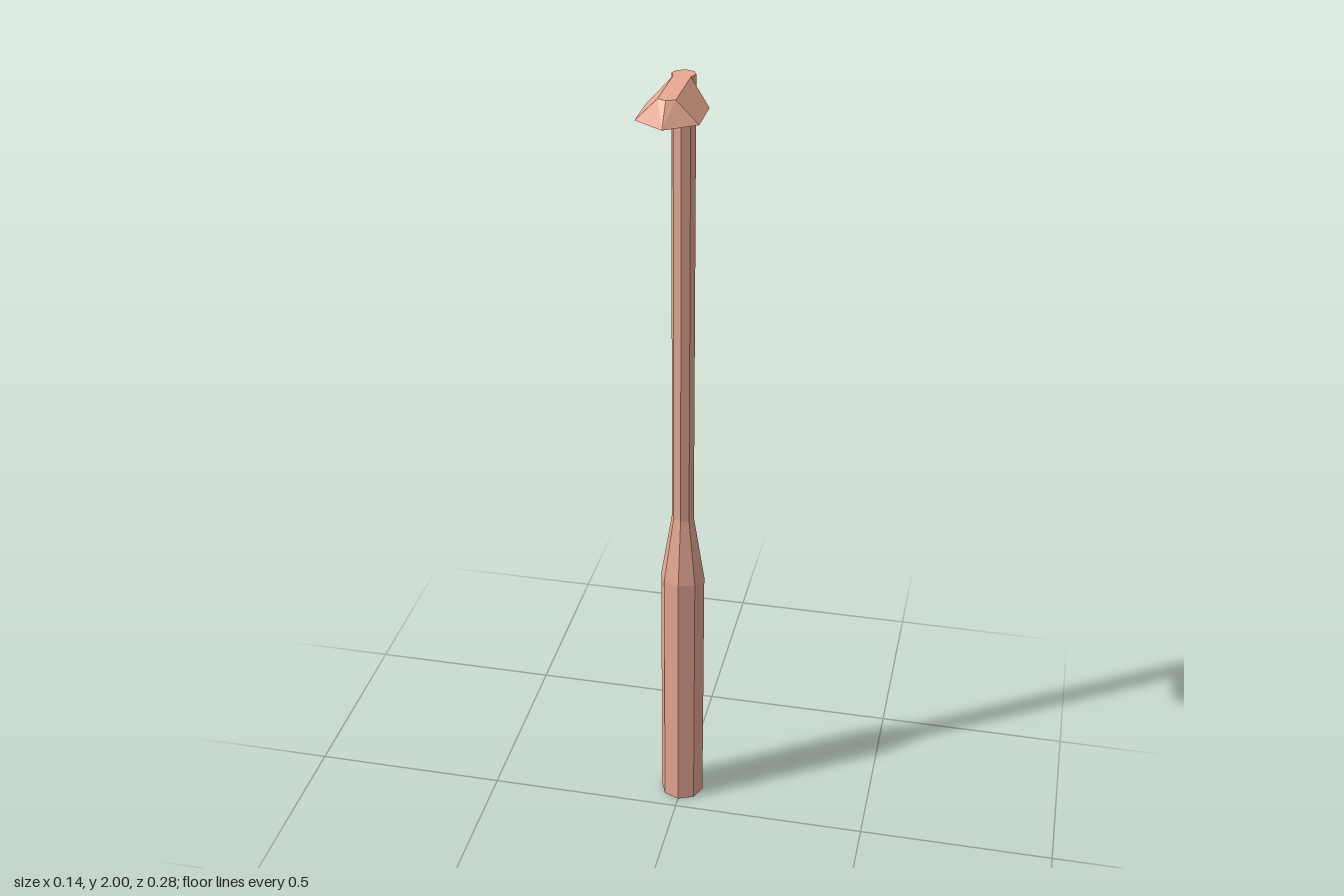
import * as THREE from 'three';
import { ConvexGeometry } from 'three/addons/geometries/ConvexGeometry.js';

export function createModel() {
  const model = new THREE.Group();
  model.name = 'streetLamp';
  const material = new THREE.MeshStandardMaterial({ color: 0xe9a994, flatShading: true });

  const addPart = (name, geometry) => {
    const mesh = new THREE.Mesh(geometry, material);
    mesh.name = name;
    model.add(mesh);
    return mesh;
  };

  // Octagonal pole: thick base, tapered shoulder, slim shaft
  const profile = [[0, 0], [0.056, 0], [0.056, 0.685], [0.028, 0.86], [0.028, 2], [0, 2]]
    .map(([r, y]) => new THREE.Vector2(r, y));
  addPart('pole', new THREE.LatheGeometry(profile, 8)).position.z = -0.086;

  // Lamp head: wide pointed underside narrowing to a slim ridge on top
  const corners = [];
  const addRing = (y, outline) => {
    for (const [x, z] of outline) {
      corners.push(new THREE.Vector3(x, y, z));
      if (x > 0) corners.push(new THREE.Vector3(-x, y, z));
    }
  };
  addRing(1.948, [[0.02, -0.066], [0.071, -0.022], [0.071, 0.09], [0, 0.14]]);
  addRing(2, [[0.02, -0.066], [0.02, 0.09], [0, 0.1]]);
  addPart('lampHead', new ConvexGeometry(corners));

  return model;
}
